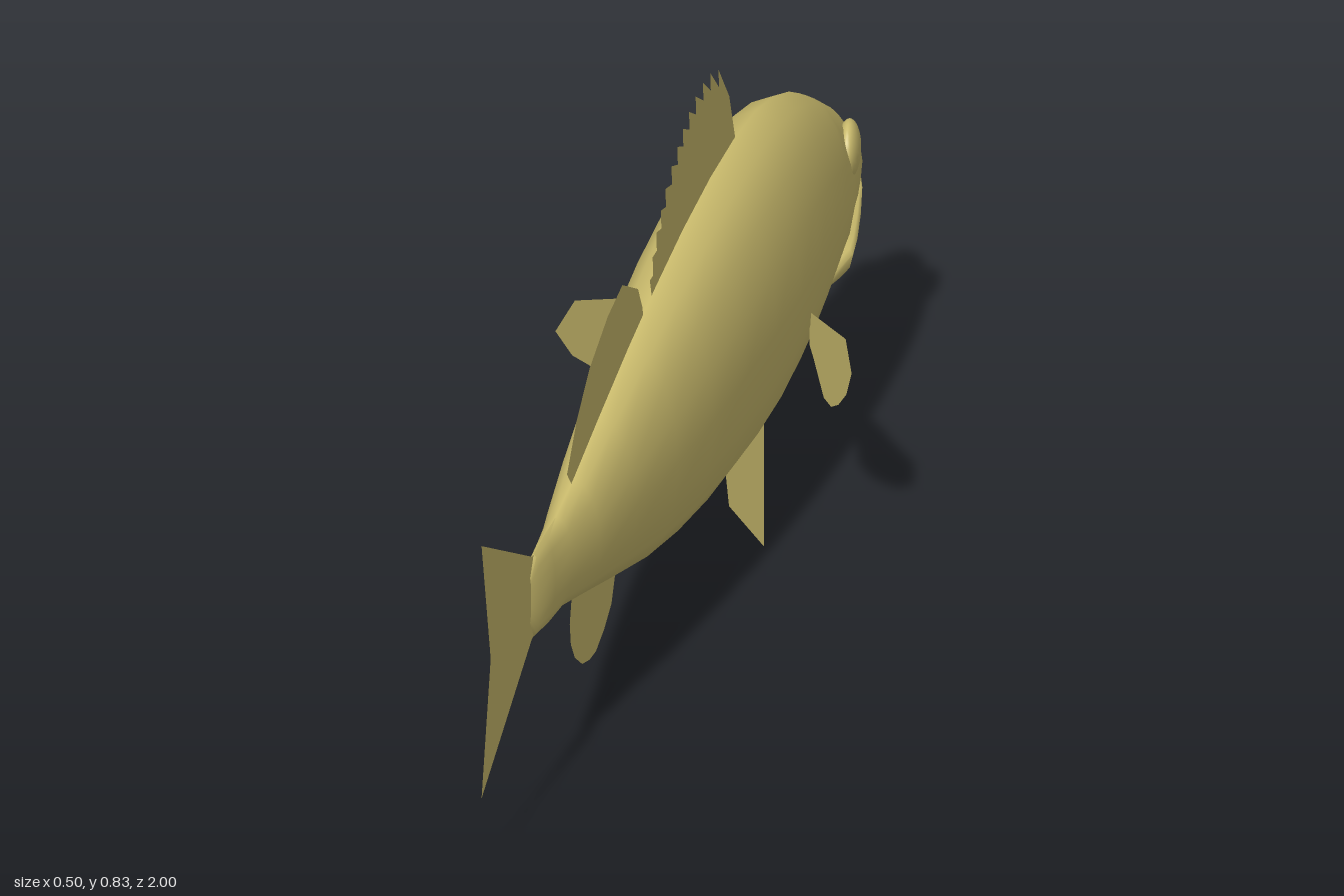
import * as THREE from 'three';
import { toCreasedNormals } from 'three/addons/utils/BufferGeometryUtils.js';

// Skin over rings of [z, top, widest height, bottom, half width]
function loft(rings, seg = 16) {
  const pos = [], idx = [];
  for (const [z, top, mid, bot, w] of rings) {
    for (let j = 0; j < seg; j++) {
      const a = (j / seg) * Math.PI * 2, c = Math.cos(a);
      pos.push(w * Math.sin(a), mid + c * (c > 0 ? top - mid : mid - bot), z);
    }
  }
  for (let i = 0; i < rings.length - 1; i++) {
    for (let j = 0; j < seg; j++) {
      const k = (j + 1) % seg, a = i * seg, b = a + seg;
      idx.push(a + j, a + k, b + j, a + k, b + k, b + j);
    }
  }
  const g = new THREE.BufferGeometry();
  g.setAttribute('position', new THREE.Float32BufferAttribute(pos, 3));
  g.setIndex(idx);
  return toCreasedNormals(g, 1.1);
}

// Flat fin from a [z, y] outline; xAt tilts it out from the middle plane
function fin(outline, xAt = () => 0) {
  const g = new THREE.ShapeGeometry(new THREE.Shape(outline.map(([z, y]) => new THREE.Vector2(z, y))));
  const p = g.attributes.position;
  for (let i = 0; i < p.count; i++) {
    const z = p.getX(i), y = p.getY(i);
    p.setXYZ(i, xAt(z, y), y, z);
  }
  g.computeVertexNormals();
  return g;
}

export function createModel() {
  const model = new THREE.Group();
  model.name = 'fish';
  const skin = new THREE.MeshStandardMaterial({ color: 0xc9ba6c, side: THREE.DoubleSide });
  skin.name = 'khakiSkin';
  const add = (name, geometry) => {
    const mesh = new THREE.Mesh(geometry, skin);
    mesh.name = name;
    model.add(mesh);
    return mesh;
  };

  // Body and upper head; the underside steps up to the mouth line
  add('body', loft([
    [0.735, 0.40, 0.36, 0.32, 0.002],
    [0.715, 0.435, 0.36, 0.285, 0.012],
    [0.66, 0.441, 0.36, 0.278, 0.02],
    [0.595, 0.443, 0.36, 0.278, 0.03],
    [0.5, 0.464, 0.355, 0.253, 0.047],
    [0.36, 0.508, 0.36, 0.212, 0.066],
    [0.2, 0.555, 0.36, 0.167, 0.086],
    [0.05, 0.593, 0.365, 0.138, 0.1],
    [-0.1, 0.624, 0.375, 0.119, 0.109],
    [-0.25, 0.645, 0.38, 0.112, 0.114],
    [-0.38, 0.652, 0.38, 0.118, 0.114],
    [-0.5, 0.645, 0.38, 0.135, 0.109],
    [-0.6, 0.622, 0.38, 0.153, 0.102],
    [-0.68, 0.59, 0.375, 0.172, 0.094],
    [-0.74, 0.557, 0.37, 0.195, 0.087],
    [-0.765, 0.542, 0.36, 0.205, 0.083],
    [-0.78, 0.533, 0.345, 0.296, 0.081],
    [-0.82, 0.508, 0.345, 0.305, 0.074],
    [-0.88, 0.46, 0.345, 0.315, 0.06],
    [-0.94, 0.405, 0.342, 0.324, 0.044],
    [-0.98, 0.368, 0.34, 0.331, 0.026],
    [-1, 0.342, 0.34, 0.338, 0.004],
  ]));

  // Lower jaw, bulging a little past the cheek
  add('lowerJaw', loft([
    [-0.725, 0.27, 0.24, 0.195, 0.06],
    [-0.765, 0.286, 0.265, 0.196, 0.083],
    [-0.8, 0.292, 0.275, 0.212, 0.079],
    [-0.86, 0.303, 0.287, 0.242, 0.066],
    [-0.92, 0.315, 0.305, 0.278, 0.05],
    [-0.97, 0.326, 0.319, 0.308, 0.03],
    [-0.992, 0.332, 0.33, 0.326, 0.004],
  ]));

  // Spiny front dorsal fin: steep drop behind each spine, slow rise to the next
  const spines = [[-0.295, 0.82], [-0.25, 0.836], [-0.21, 0.838], [-0.17, 0.832], [-0.134, 0.822],
    [-0.1, 0.808], [-0.07, 0.79], [-0.038, 0.77], [-0.005, 0.745], [0.02, 0.718],
    [0.045, 0.69], [0.065, 0.655], [0.08, 0.62]];
  const dorsal = [[-0.38, 0.63], [-0.386, 0.652], [-0.354, 0.742]];
  spines.forEach(([z, y], i) => {
    dorsal.push([z, y]);
    if (i < spines.length - 1) dorsal.push([z - 0.003, y - 0.034]);
  });
  dorsal.push([0.068, 0.58], [-0.1, 0.6]);
  add('spinyDorsalFin', fin(dorsal));

  add('softDorsalFin', fin([[0.115, 0.56], [0.12, 0.59], [0.145, 0.637], [0.23, 0.686], [0.31, 0.668],
    [0.41, 0.622], [0.48, 0.562], [0.533, 0.49], [0.5, 0.45], [0.36, 0.49]]));
  add('tailFin', fin([[0.68, 0.43], [0.725, 0.435], [1, 0.59], [0.95, 0.36], [1, 0.13], [0.725, 0.285], [0.68, 0.29]]));
  add('analFin', fin([[0.26, 0.2], [0.29, 0.135], [0.33, 0.108], [0.375, 0.09], [0.41, 0.092], [0.45, 0.104],
    [0.49, 0.135], [0.512, 0.17], [0.518, 0.21], [0.505, 0.265], [0.38, 0.23]]));

  // Paired fins and eyes
  for (const [side, s] of [['left', 1], ['right', -1]]) {
    add(side + 'PectoralFin', fin([[-0.475, 0.305], [-0.475, 0.245], [-0.45, 0.235], [-0.386, 0.2], [-0.34, 0.21],
      [-0.295, 0.24], [-0.245, 0.288], [-0.213, 0.345], [-0.25, 0.386]], (z) => s * (0.11 + (z + 0.455) * 0.583)));
    add(side + 'PelvicFin', fin([[-0.2, 0.145], [-0.397, 0.133], [-0.22, 0.003], [-0.16, 0.1]],
      (z, y) => s * (0.045 + (0.135 - y) * 0.42)));
    const eye = add(side + 'Eye', new THREE.SphereGeometry(0.05, 20, 14));
    eye.scale.set(0.4, 1, 1);
    eye.position.set(s * 0.058, 0.425, -0.82);
    eye.rotation.y = s * 0.22;
  }
  return model;
}
